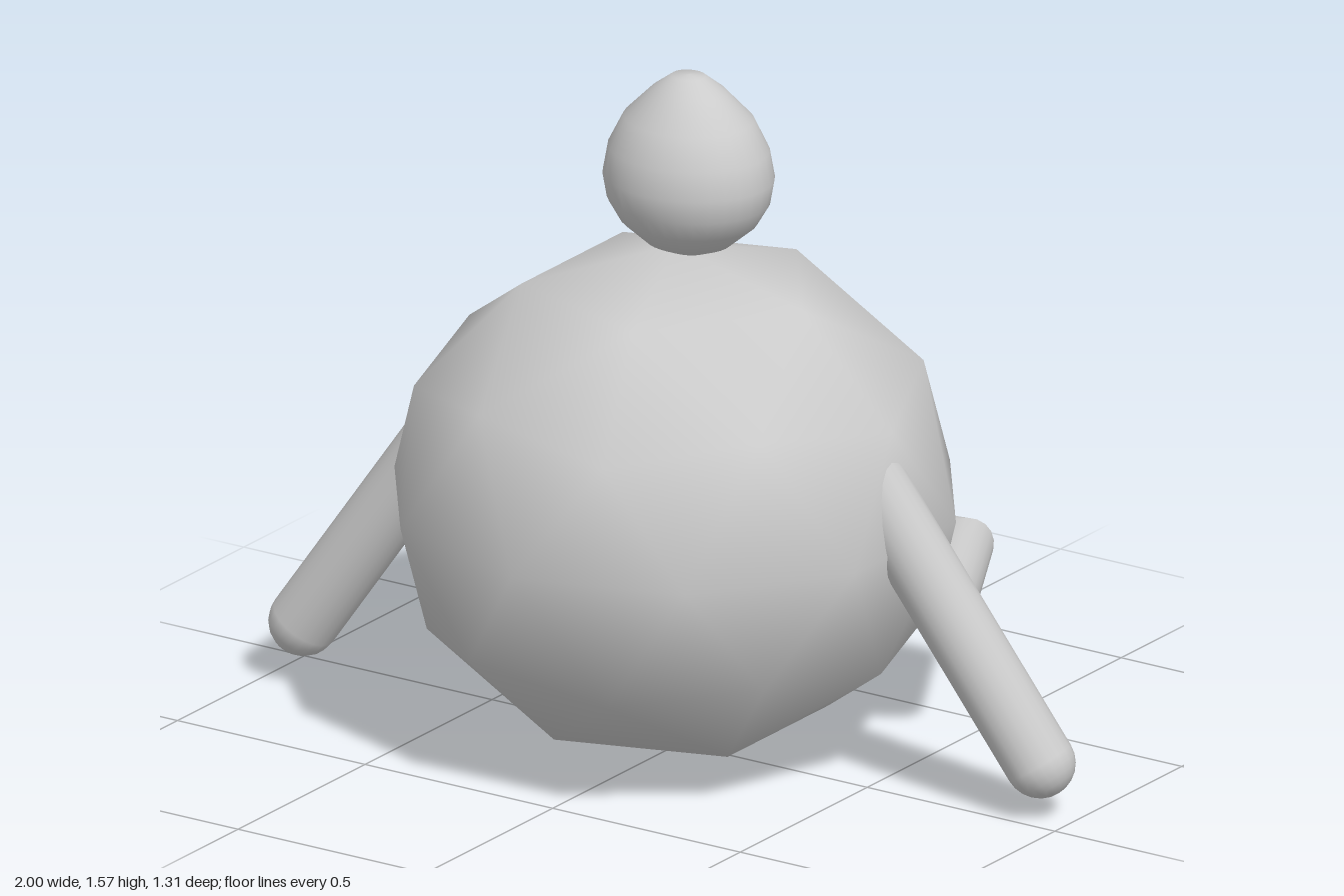
import * as THREE from 'three';

const grey = () => new THREE.MeshStandardMaterial({ color: 0xcccccc });
const V = (a) => new THREE.Vector3(...a);

function add(group, name, geometry) {
  const mesh = new THREE.Mesh(geometry, grey());
  mesh.name = name;
  group.add(mesh);
  return mesh;
}

// Round-ended limb along a polyline, with mitred joints
function limb(path, r, sides = 20, capSteps = 6) {
  const p = path.map(V);
  const dirs = p.slice(1).map((q, i) => q.clone().sub(p[i]).normalize());
  const last = dirs.length - 1;
  const v = dirs[0].clone().cross(last ? dirs[last] : new THREE.Vector3(0, 0, 1)).normalize();
  const us = dirs.map((t) => v.clone().cross(t).normalize());
  const pos = [], index = [];
  const ring = (c, u, s) => {
    for (let j = 0; j < sides; j++) {
      const a = (j / sides) * Math.PI * 2;
      const q = c.clone().addScaledVector(u, Math.cos(a) * s).addScaledVector(v, Math.sin(a) * s);
      pos.push(q.x, q.y, q.z);
    }
  };
  const cap = (c, t, u, from, to) => {
    for (let k = 0; k <= capSteps; k++) {
      const a = from + ((to - from) * k) / capSteps;
      ring(c.clone().addScaledVector(t, Math.sin(a) * r), u, Math.cos(a) * r);
    }
  };
  cap(p[0], dirs[0], us[0], -Math.PI / 2, 0);
  for (let i = 1; i <= last; i++) {
    const u = us[i - 1].clone().add(us[i]).divideScalar(1 + us[i - 1].dot(us[i]));
    ring(p[i], u, r); // doubled ring keeps the joint crisp
    ring(p[i], u, r);
  }
  cap(p[p.length - 1], dirs[last], us[last], 0, Math.PI / 2);
  const rings = pos.length / 3 / sides;
  for (let i = 0; i < rings - 1; i++) {
    for (let j = 0; j < sides; j++) {
      const k = (j + 1) % sides;
      const a = i * sides + j, b = i * sides + k;
      index.push(a, b, b + sides, a, b + sides, a + sides);
    }
  }
  const g = new THREE.BufferGeometry();
  g.setAttribute('position', new THREE.Float32BufferAttribute(pos, 3));
  g.setIndex(index);
  g.computeVertexNormals();
  return g;
}

export function createModel() {
  const model = new THREE.Group();
  model.name = 'figure';

  // Round body: coarse icosphere turned so one vertex is the pole
  const body = new THREE.IcosahedronGeometry(1, 1);
  body.rotateZ(-Math.atan(2 / (1 + Math.sqrt(5))));
  body.scale(0.645, 0.588, 0.645);
  body.translate(-0.005, 0.592, 0.01);
  add(model, 'body', body);

  // Egg-shaped head, wider than deep
  const profile = [
    [0, 1.158], [0.18, 1.16], [0.5, 1.185], [0.8, 1.235], [0.95, 1.285], [1, 1.34],
    [0.94, 1.405], [0.76, 1.475], [0.43, 1.54], [0.2, 1.573], [0, 1.576],
  ].map(([x, y]) => new THREE.Vector2(x, y));
  const head = new THREE.LatheGeometry(profile, 32);
  head.scale(0.198, 1, 0.174);
  head.translate(0.012, 0, -0.018);
  add(model, 'head', head);

  // Arms hang outward, one swung forward and one back
  add(model, 'leftArm', limb([[0.5, 0.77, 0.025], [0.92, 0.13, -0.06]], 0.079));
  add(model, 'rightArm', limb([[-0.5, 0.77, 0.035], [-0.92, 0.14, 0.12]], 0.079));

  // Bent legs wrap round the lower back and meet in the middle
  add(model, 'leftLeg', limb([[0.485, 0.347, -0.33], [0.35, 0.355, -0.585], [0.075, 0.335, -0.585]], 0.072));
  add(model, 'rightLeg', limb([[-0.49, 0.33, -0.33], [-0.35, 0.335, -0.585], [-0.075, 0.325, -0.585]], 0.072));

  return model;
}
